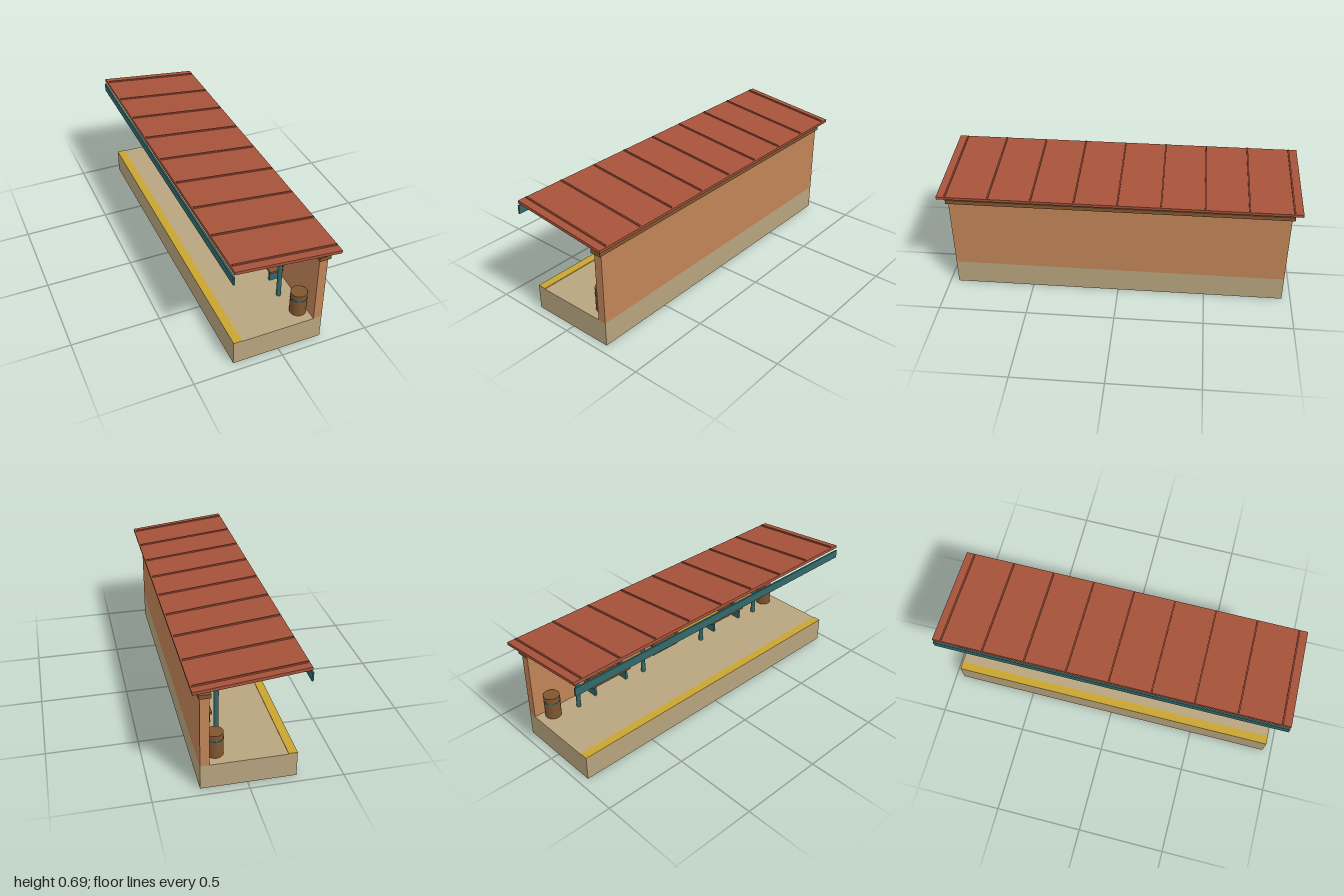
import * as THREE from 'three';

const mat = (name, color) => {
  const m = new THREE.MeshStandardMaterial({ color });
  m.name = name;
  return m;
};

export function createModel() {
  const stone = mat('stone', 0xb8a47e);
  const brick = mat('brick', 0xc08457);
  const wood = mat('wood', 0x80562f);
  const red = mat('roof red', 0xa6523a);
  const teal = mat('teal paint', 0x33696b);
  const yellow = mat('yellow paint', 0xc9a430);

  const model = new THREE.Group();
  model.name = 'platformShelter';

  const add = (parent, name, geometry, material, x, y, z) => {
    const mesh = new THREE.Mesh(geometry, material);
    mesh.name = name;
    mesh.position.set(x, y, z);
    parent.add(mesh);
    return mesh;
  };
  // Box given by its minimum and maximum on each axis
  const box = (parent, name, material, x0, x1, y0, y1, z0, z1) =>
    add(parent, name, new THREE.BoxGeometry(x1 - x0, y1 - y0, z1 - z0), material,
      (x0 + x1) / 2, (y0 + y1) / 2, (z0 + z1) / 2);
  const group = (name) => {
    const g = new THREE.Group();
    g.name = name;
    model.add(g);
    return g;
  };

  const FLOOR = 0.142;

  // Platform, edge line and back wall
  box(model, 'platform', stone, -0.26, 0.248, 0, FLOOR, -0.95, 0.95);
  box(model, 'edgeLine', yellow, -0.26, -0.212, FLOOR, 0.146, -0.95, 0.95);
  box(model, 'backWall', brick, 0.2, 0.248, FLOOR, 0.553, -0.95, 0.95);
  box(model, 'wallCap', wood, 0.192, 0.256, 0.553, 0.576, -0.965, 0.965);

  // Sloping roof with raised seams
  const roof = group('roof');
  roof.position.set(0.002, 0.644, 0);
  roof.rotation.z = -0.106;
  box(roof, 'roofSlab', red, -0.293, 0.293, -0.0085, 0.0085, -1, 1);
  for (let i = -4; i <= 4; i++) {
    const z = i * 0.238;
    box(roof, 'roofSeam', red, -0.286, 0.284, 0.0085, 0.0165, z - 0.004, z + 0.004);
  }
  box(model, 'fascia', teal, -0.296, -0.287, 0.604, 0.652, -1, 1);

  // Posts with diagonal braces
  for (const z of [-0.715, -0.238, 0.238, 0.715]) {
    add(model, 'post', new THREE.CylinderGeometry(0.013, 0.013, 0.485, 16), teal, 0.113, FLOOR + 0.2425, z);
    const brace = add(model, 'brace', new THREE.BoxGeometry(0.19, 0.012, 0.012), teal, 0.031, 0.573, z);
    brace.rotation.z = -0.815;
  }

  // Hanging sign
  const sign = group('hangingSign');
  box(sign, 'signBoard', yellow, -0.108, -0.095, 0.481, 0.553, -0.16, 0.16);
  box(sign, 'signRail', teal, -0.11, -0.094, 0.553, 0.562, -0.165, 0.165);
  for (const z of [-0.125, 0.125])
    add(sign, 'signRod', new THREE.CylinderGeometry(0.0016, 0.0016, 0.063, 8), teal, -0.102, 0.593, z);

  // Frame of four bars around a recessed panel on the wall
  const framed = (name, z, y0, y1, x0, material) => {
    const g = group(name);
    const h = 0.103, b = 0.016;
    box(g, 'panel', material, 0.194, 0.2, y0 + b, y1 - b, z - h + b, z + h - b);
    for (const s of [-1, 1]) {
      const c = z + s * (h - b / 2);
      box(g, 'frameSide', wood, x0, 0.2, y0, y1, c - b / 2, c + b / 2);
    }
    box(g, 'frameTop', wood, x0, 0.2, y1 - b, y1, z - h + b, z + h - b);
    box(g, 'frameBottom', wood, x0, 0.2, y0, y0 + b, z - h + b, z + h - b);
  };
  framed('door', 0.005, FLOOR, 0.477, 0.186, wood);

  for (const s of [-1, 1]) {
    framed('window', s * 0.555, 0.318, 0.477, 0.188, teal);

    // Bench
    const bench = group('bench');
    bench.position.z = s * 0.476;
    box(bench, 'seat', wood, 0.112, 0.188, 0.205, 0.218, -0.14, 0.14);
    box(bench, 'backrest', wood, 0.18, 0.192, 0.235, 0.287, -0.14, 0.14);
    for (const t of [-1, 1]) {
      const z = t * 0.113;
      box(bench, 'benchLeg', teal, 0.118, 0.182, FLOOR, 0.205, z - 0.007, z + 0.007);
      box(bench, 'backSupport', teal, 0.182, 0.19, 0.205, 0.235, z - 0.007, z + 0.007);
    }

    // Barrel with a hoop
    const barrel = group('barrel');
    barrel.position.set(0.153, 0, s * 0.86);
    add(barrel, 'barrelBody', new THREE.CylinderGeometry(0.045, 0.045, 0.136, 24), wood, 0, FLOOR + 0.068, 0);
    add(barrel, 'barrelHoop', new THREE.CylinderGeometry(0.0465, 0.0465, 0.009, 24), teal, 0, 0.24, 0);
  }

  return model;
}
